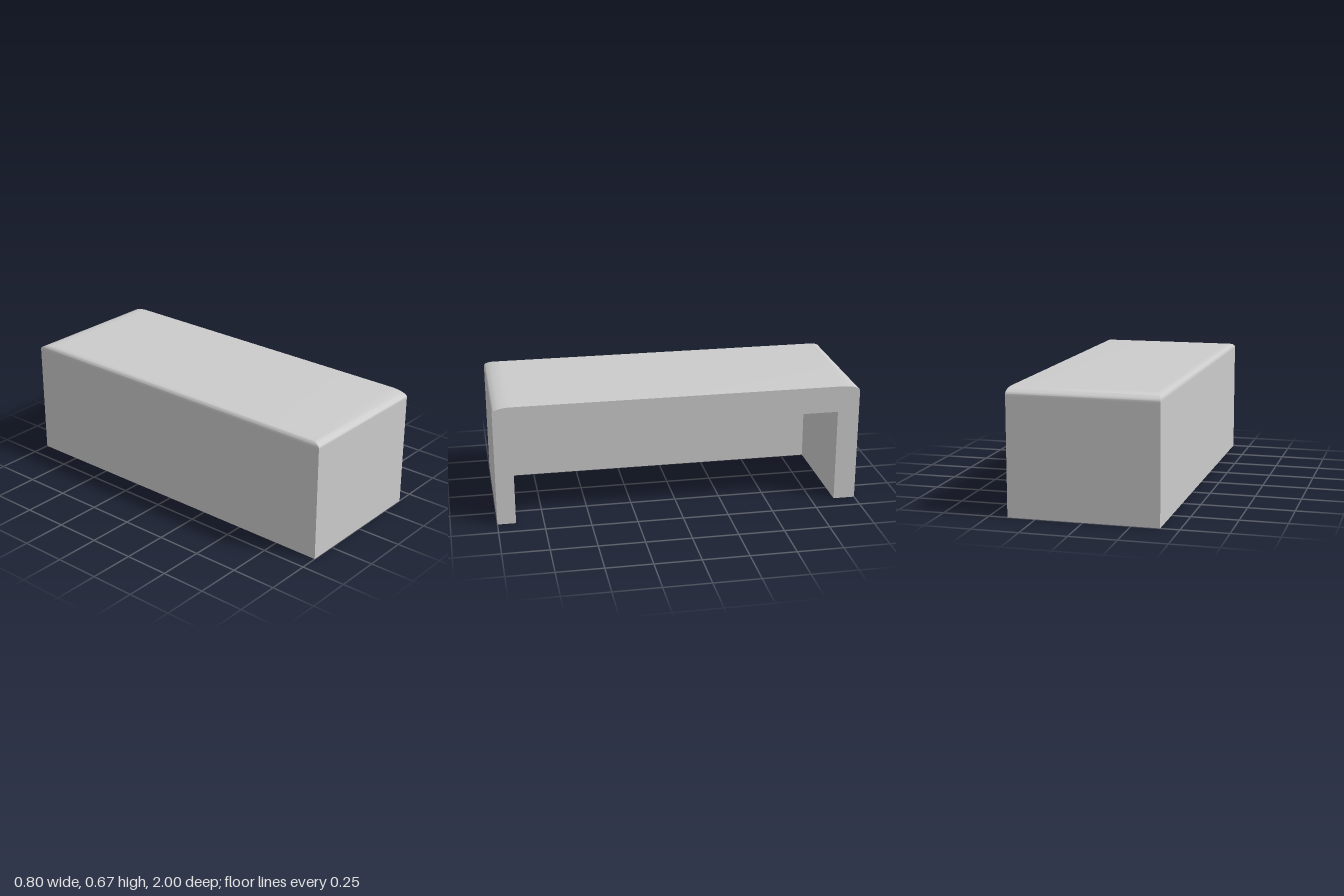
import * as THREE from 'three';
import { toCreasedNormals } from 'three/addons/utils/BufferGeometryUtils.js';

const HALF_W = 0.4, HALF_L = 1, HEIGHT = 0.667, SHOULDER = 0.637;
const EASE_X = 0.04, EASE_Z = 0.1, STEPS = 10;
const IN_X = -0.245, IN_FRONT = 0.9, IN_BACK = -0.88, IN_TOP = 0.52;

// Lofts three-sided rows of [x, y, z] upwards and closes the last row with a flat cap
function loftAndCap(rows) {
  const pos = [];
  const quad = (a, b, c, d) => pos.push(...a, ...d, ...c, ...a, ...c, ...b);
  for (let r = 0; r < rows.length - 1; r++) {
    for (let i = 0; i < 3; i++) {
      quad(rows[r][i], rows[r][i + 1], rows[r + 1][i + 1], rows[r + 1][i]);
    }
  }
  quad(...rows[rows.length - 1]);
  // the cap is wound like the walls, so it faces the same side
  const geo = new THREE.BufferGeometry();
  geo.setAttribute('position', new THREE.Float32BufferAttribute(pos, 3));
  return toCreasedNormals(geo, 0.6);
}

// Row open on +x: front edge, closed side, back edge
const row = (y, x, front, back) => [
  [HALF_W, y, front], [x, y, front], [x, y, back], [HALF_W, y, back],
];

const flatShape = (points) =>
  new THREE.ShapeGeometry(new THREE.Shape(points.map(([x, y]) => new THREE.Vector2(x, y))));

export function createModel() {
  const group = new THREE.Group();
  group.name = 'bench';
  const material = new THREE.MeshStandardMaterial({ color: 0xcccccc, side: THREE.DoubleSide });
  const add = (name, geometry) => {
    const mesh = new THREE.Mesh(geometry, material);
    mesh.name = name;
    group.add(mesh);
  };

  // Eased edge: quarter ellipse from the shoulder to the top
  const ease = [];
  for (let i = 0; i <= STEPS; i++) {
    const t = (i / STEPS) * Math.PI / 2, inset = 1 - Math.cos(t);
    ease.push({
      y: SHOULDER + (HEIGHT - SHOULDER) * Math.sin(t),
      x: -HALF_W + EASE_X * inset,
      z: HALF_L - EASE_Z * inset,
    });
  }

  // Outer walls, rounded top edges and seat
  add('outerShell', loftAndCap([
    row(0, -HALF_W, HALF_L, -HALF_L),
    row(SHOULDER - 0.01, -HALF_W, HALF_L, -HALF_L),
    ...ease.map((e) => row(e.y, e.x, e.z, -e.z)),
  ]));

  // Hollow underneath, open to the side and below
  add('innerHollow', loftAndCap(
    [0, IN_TOP].map((y) => row(y, IN_X, IN_FRONT, IN_BACK).reverse())));

  // Arch-shaped open side, drawn with -z to the right
  const arch = flatShape([
    [-HALF_L, 0], [-IN_FRONT, 0], [-IN_FRONT, IN_TOP],
    [-IN_BACK, IN_TOP], [-IN_BACK, 0], [HALF_L, 0],
    ...ease.map((e) => [e.z, e.y]),
    ...ease.map((e) => [-e.z, e.y]).reverse(),
  ]);
  add('openSideEdge', arch.rotateY(Math.PI / 2).translate(HALF_W, 0, 0));

  // Underside of the three walls
  const foot = flatShape([
    [HALF_W, HALF_L], [-HALF_W, HALF_L], [-HALF_W, -HALF_L], [HALF_W, -HALF_L],
    [HALF_W, IN_BACK], [IN_X, IN_BACK], [IN_X, IN_FRONT], [HALF_W, IN_FRONT],
  ]);
  add('wallFeet', foot.rotateX(Math.PI / 2));

  return group;
}
